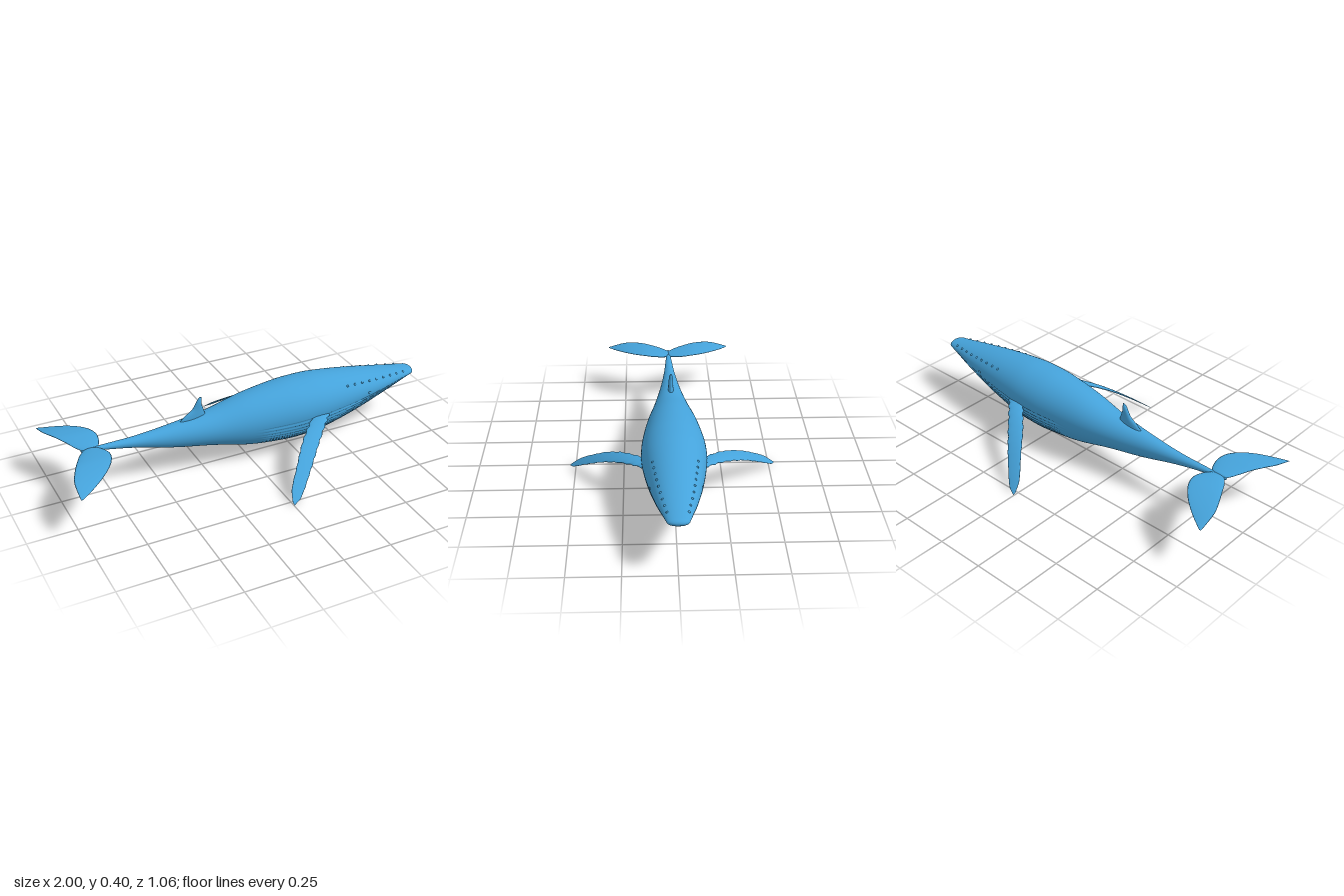
import * as THREE from 'three';

const skin = new THREE.MeshStandardMaterial({ color: 0x45a3db });
skin.name = 'whaleBlue';

// Body profile: x, top y, bottom y, half width, y of the widest line
const BODY = [
  [-0.88, 0.262, 0.254, 0.005, 0.258],
  [-0.78, 0.267, 0.243, 0.014, 0.256],
  [-0.6, 0.268, 0.208, 0.03, 0.24],
  [-0.4, 0.284, 0.157, 0.058, 0.222],
  [-0.2, 0.307, 0.12, 0.093, 0.216],
  [0, 0.35, 0.073, 0.13, 0.218],
  [0.2, 0.374, 0.053, 0.155, 0.225],
  [0.3, 0.377, 0.055, 0.16, 0.23],
  [0.4, 0.375, 0.066, 0.157, 0.234],
  [0.6, 0.351, 0.118, 0.132, 0.243],
  [0.8, 0.317, 0.188, 0.095, 0.256],
  [0.9, 0.3, 0.222, 0.07, 0.263],
  [0.96, 0.291, 0.243, 0.055, 0.267],
  [0.985, 0.287, 0.252, 0.046, 0.268],
  [0.997, 0.28, 0.261, 0.026, 0.27],
  [1.0, 0.274, 0.268, 0.012, 0.271],
];
// Flipper: t, leading x and z, trailing x and z, half thickness
const FLIPPER = [
  [0, 0.44, 0.12, 0.36, 0.08, 0.012],
  [0.25, 0.35, 0.215, 0.295, 0.163, 0.009],
  [0.5, 0.24, 0.33, 0.185, 0.275, 0.007],
  [0.75, 0.13, 0.44, 0.085, 0.393, 0.005],
  [0.92, 0.05, 0.51, 0.018, 0.472, 0.003],
  [1, 0.004, 0.531, 0, 0.518, 0.001],
];
const FLIPPER_Y = [[0.08, 0.214], [0.16, 0.211], [0.25, 0.188], [0.35, 0.14], [0.45, 0.07], [0.53, 0.004]];
// Tail fluke: z, leading x, trailing x, half thickness
const FLUKE = [
  [0, -0.795, -0.87, 0.01],
  [0.04, -0.774, -0.9, 0.009],
  [0.1, -0.765, -0.932, 0.007],
  [0.17, -0.787, -0.967, 0.005],
  [0.24, -0.842, -0.994, 0.004],
  [0.3, -0.915, -1.0, 0.003],
  [0.348, -0.99, -1.0, 0.001],
];
const FLUKE_Y = [[0, 0.258], [0.08, 0.27], [0.15, 0.274], [0.25, 0.261], [0.35, 0.232]];
// Dorsal fin: y, rear x, front x, half thickness
const DORSAL = [
  [0.28, -0.37, -0.22, 0.016],
  [0.31, -0.335, -0.228, 0.014],
  [0.335, -0.298, -0.236, 0.012],
  [0.365, -0.277, -0.244, 0.011],
  [0.388, -0.264, -0.244, 0.008],
  [0.399, -0.253, -0.244, 0.003],
];

// Smooth interpolation of a table by its first column
function sample(table, u) {
  const n = table.length - 1;
  let i = 0;
  while (i < n - 1 && u > table[i + 1][0]) i++;
  const a = table[i], b = table[i + 1], p = table[Math.max(0, i - 1)], q = table[Math.min(n, i + 2)];
  const h = b[0] - a[0], t = THREE.MathUtils.clamp((u - a[0]) / h, 0, 1);
  return a.slice(1).map((v, k) => {
    const c = k + 1;
    const m0 = (b[c] - p[c]) / (b[0] - p[0]) * h, m1 = (q[c] - a[c]) / (q[0] - a[0]) * h;
    const d = b[c] - v;
    return v + m0 * t + (3 * d - 2 * m0 - m1) * t * t + (m0 + m1 - 2 * d) * t * t * t;
  });
}

// Closed skin through rings of points, turned to face outward
function loft(rings) {
  const n = rings[0].length, m = rings.length, tri = [];
  const pts = rings.flat();
  for (const r of [rings[0], rings[m - 1]]) {
    pts.push(r.reduce((s, v) => s.add(v), new THREE.Vector3()).divideScalar(n));
  }
  for (let j = 0; j < n; j++) {
    const k = (j + 1) % n, e = (m - 1) * n;
    for (let i = 0; i < m - 1; i++) {
      const a = i * n + j, b = i * n + k;
      tri.push(a, a + n, b, b, a + n, b + n);
    }
    tri.push(m * n, j, k, m * n + 1, e + k, e + j);
  }
  let volume = 0;
  const c = pts[m * n], v = (i) => pts[i].clone().sub(c);
  for (let i = 0; i < tri.length; i += 3) volume += v(tri[i]).dot(v(tri[i + 1]).cross(v(tri[i + 2])));
  if (volume < 0) tri.reverse();
  const g = new THREE.BufferGeometry().setFromPoints(pts);
  g.setIndex(tri);
  g.computeVertexNormals();
  return g;
}

function add(parent, name, geometry) {
  const mesh = new THREE.Mesh(geometry, skin);
  mesh.name = name;
  parent.add(mesh);
  return mesh;
}

// Point on the body; the throat is cut by narrow lengthwise pleats
const SEGMENTS = 192, PLEAT = 4;
function bodyPoint(x, angle, groove = 0) {
  const [top, bottom, w, mid] = sample(BODY, x);
  const s = Math.sin(angle), h = s > 0 ? top - mid : mid - bottom;
  const k = 1 - groove / Math.max(w, 0.02);
  return new THREE.Vector3(x, mid + s * h * k, Math.cos(angle) * w * k);
}

function ellipseRing(n, fn) {
  return Array.from({ length: n }, (_, j) => fn(Math.cos(j / n * 2 * Math.PI), Math.sin(j / n * 2 * Math.PI)));
}

export function createModel() {
  const whale = new THREE.Group();
  whale.name = 'whale';
  const { smoothstep } = THREE.MathUtils;

  // Body with throat pleats
  const rings = [];
  for (let i = 0; i <= 90; i++) {
    const x = 0.06 - 0.94 * Math.cos(i / 90 * Math.PI);
    const reach = smoothstep(x, 0.03, 0.1) * (1 - smoothstep(x, 0.88, 0.97));
    rings.push(Array.from({ length: SEGMENTS }, (_, j) => {
      const cut = j > SEGMENTS / 2 && j % PLEAT === 0 ? 0.005 * reach : 0;
      return bodyPoint(x, j / SEGMENTS * 2 * Math.PI, cut);
    }));
  }
  add(whale, 'body', loft(rings));

  // Dorsal fin
  const fin = [];
  for (let i = 0; i <= 16; i++) {
    const y = 0.28 + 0.119 * i / 16;
    const [rear, front, w] = sample(DORSAL, y);
    fin.push(ellipseRing(20, (c, s) => new THREE.Vector3((rear + front) / 2 + c * (front - rear) / 2, y, s * w)));
  }
  add(whale, 'dorsalFin', loft(fin));

  for (const [side, label] of [[1, 'Right'], [-1, 'Left']]) {
    // Long drooping flipper with knobbly edges
    const flipper = [];
    for (let i = 0; i <= 64; i++) {
      const t = i / 64;
      const [lx, lz, tx, tz, h] = sample(FLIPPER, t);
      const wave = 0.003 * Math.sin(t * 70) * (1 - t);
      flipper.push(ellipseRing(20, (c, s) => {
        const x = (lx + tx) / 2 + c * ((lx - tx) / 2 + wave);
        const z = (lz + tz) / 2 + c * ((lz - tz) / 2 + wave);
        return new THREE.Vector3(x, sample(FLIPPER_Y, z)[0] + s * h, z * side);
      }));
    }
    add(whale, 'flipper' + label, loft(flipper));

    // Tail fluke
    const fluke = [];
    for (let i = 0; i <= 28; i++) {
      const z = 0.348 * i / 28;
      const [lead, trail, h] = sample(FLUKE, z);
      const y = sample(FLUKE_Y, z)[0];
      fluke.push(ellipseRing(20, (c, s) =>
        new THREE.Vector3((lead + trail) / 2 + c * (lead - trail) / 2, y + s * h, z * side)));
    }
    add(whale, 'tailFluke' + label, loft(fluke));

    // Row of bumps along the upper jaw
    const bumps = new THREE.Group();
    bumps.name = 'headBumps' + label;
    whale.add(bumps);
    for (let i = 0; i < 9; i++) {
      const p = bodyPoint(0.54 + i * 0.048, 0.72);
      p.z *= side;
      add(bumps, 'bump', new THREE.SphereGeometry(0.006, 12, 8)).position.copy(p);
    }

    // Eye
    const eye = add(whale, 'eye' + label, new THREE.SphereGeometry(0.008, 16, 10));
    eye.position.copy(bodyPoint(0.67, 0.08));
    eye.position.z *= side;
    eye.scale.set(1.2, 0.8, 0.5);
  }
  return whale;
}
